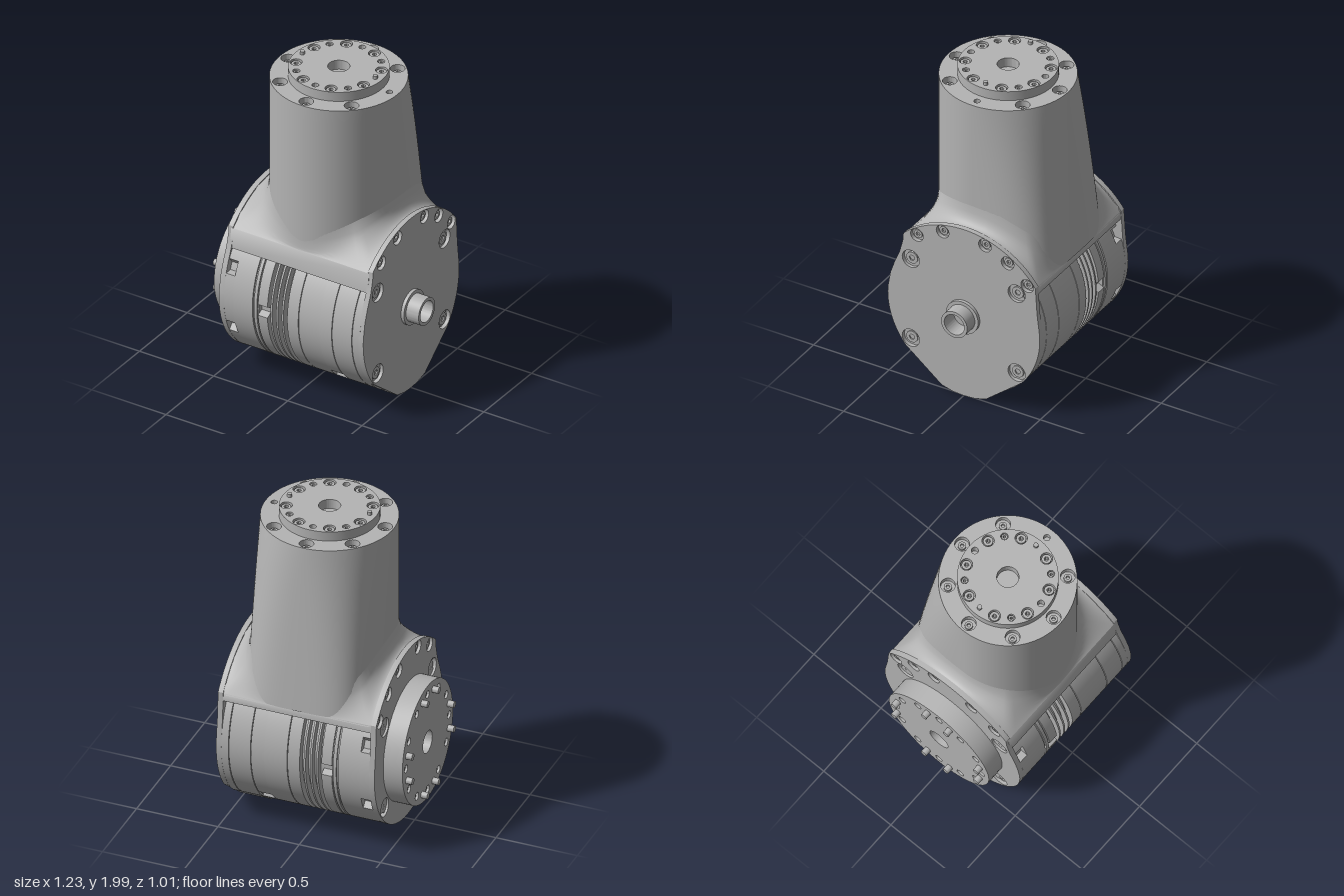
import * as THREE from 'three';
import { toCreasedNormals } from 'three/addons/utils/BufferGeometryUtils.js';
import { ParametricGeometry } from 'three/addons/geometries/ParametricGeometry.js';

const AXIS_Y = 0.545;   // height of the horizontal drum axis
const TOWER_X = 0.022;  // x of the vertical tower axis
const rad = THREE.MathUtils.degToRad;
const steps = (n, start = 0) => Array.from({ length: n }, (_, i) => rad(start + i * 360 / n));

export function createModel() {
  const group = new THREE.Group();
  const metal = new THREE.MeshStandardMaterial({ color: 0xb4b4b4 });
  metal.name = 'grey metal';

  function add(name, geo, crease = 0.5) {
    const mesh = new THREE.Mesh(toCreasedNormals(geo, crease), metal);
    mesh.name = name;
    group.add(mesh);
  }

  // Shapes: circles, outlines with holes, screw heads with a hex socket
  function circle(u, v, r, PathType = THREE.Shape) {
    return new PathType().absarc(u, v, r, 0, Math.PI * 2, false);
  }
  function drill(shape, holes) {
    for (const [u, v, r] of holes) shape.holes.push(circle(u, v, r, THREE.Path));
    return shape;
  }
  function polygon(pts) {
    return new THREE.Shape(pts.map(([u, v]) => new THREE.Vector2(u, v)));
  }
  function screwHead(u, v, r) {
    const head = circle(u, v, r);
    head.holes.push(new THREE.Path(steps(6).map(a =>
      new THREE.Vector2(u + r * 0.5 * Math.cos(a), v + r * 0.5 * Math.sin(a)))));
    return head;
  }
  const extrude = (shape, depth, seg) =>
    new THREE.ExtrudeGeometry(shape, { depth, bevelEnabled: false, curveSegments: seg });
  // Sideways parts: shape is (-z, y), pushed along x
  const alongX = (name, shape, x0, x1, seg = 20, crease = 0.5) =>
    add(name, extrude(shape, x1 - x0, seg).rotateY(Math.PI / 2).translate(x0, 0, 0), crease);
  // Upright parts: shape is (x, -z), pushed along y
  const alongY = (name, shape, y0, y1, seg = 20) =>
    add(name, extrude(shape, y1 - y0, seg).rotateX(-Math.PI / 2).translate(0, y0, 0));

  // Drum: core plus rings with fine seams between them, some rings notched
  function notchedDisc(notches) {
    const pts = [];
    for (let i = 0; i < 180; i++) {
      const a = rad(i * 2);
      const cut = notches.some(n => Math.abs(Math.atan2(Math.sin(a - n), Math.cos(a - n))) < 0.065);
      const q = cut ? 0.462 : 0.502;
      pts.push([q * Math.cos(a), AXIS_Y + q * Math.sin(a)]);
    }
    return polygon(pts);
  }
  alongX('drumCore', circle(0, AXIS_Y, 0.458), -0.45, 0.49, 64);
  const rings = [
    [-0.43, -0.37, steps(8, 22.5)], [-0.37, -0.238, []], [-0.228, -0.208, []],
    [-0.2, -0.137, steps(2)],
    [-0.003, 0.071, []], [0.075, 0.215, []], [0.215, 0.296, [rad(-45), rad(-135)]],
    [0.3, 0.431, []], [0.435, 0.485, []]
  ];
  for (const [x0, x1, notches] of rings) alongX('drumRing', notchedDisc(notches), x0, x1);
  for (const [x0, x1] of [[-0.3, -0.2], [0.03, 0.215], [0.296, 0.48]]) {
    alongX('drumSeamFloor', circle(0, AXIS_Y, 0.492), x0, x1, 64);
  }
  for (const x of [-0.11, -0.072, -0.034]) {
    alongX('coolingFin', circle(0, AXIS_Y, 0.502), x - 0.006, x + 0.006, 90);
  }

  // End plates: large arc on top, drum circle at the sides, optional pointed foot
  function plateOutline(hasFoot) {
    const pts = [];
    const arc = (r, from, to) => {
      for (let a = from; a <= to; a += 4) {
        pts.push([r * Math.cos(rad(a)), AXIS_Y + r * Math.sin(rad(a))]);
      }
    };
    arc(0.586, 36, 132);
    pts.push([-0.4, 0.97], [-0.404, 0.92], [-0.425, 0.84], [-0.458, 0.76], [-0.485, 0.68]);
    if (hasFoot) {
      arc(0.503, 176, 220);
      pts.push([-0.145, 0.03], [-0.07, 0.011], [0, 0.006], [0.07, 0.011], [0.145, 0.03]);
      arc(0.503, 320, 364);
    } else {
      arc(0.503, 176, 364);
    }
    pts.push([0.485, 0.72], [0.476, 0.86]);
    return polygon(pts);
  }
  const plateHoles = [
    [-0.35, 0.815, 0.057], [0.35, 0.815, 0.057], [-0.35, 0.28, 0.057], [0.35, 0.28, 0.057],
    [-0.31, 0.99, 0.042], [-0.14, 1.07, 0.042], [0.14, 1.07, 0.042],
    [0.29, 1.0, 0.042], [0.42, 0.89, 0.042]
  ];
  alongX('shaftSidePlate', drill(plateOutline(true), plateHoles), 0.478, 0.51);
  alongX('flangeSidePlate', drill(plateOutline(false), plateHoles), -0.463, -0.43);
  for (const [u, v, r] of plateHoles) {
    alongX('plateScrew', screwHead(u, v, r * 0.65), 0.47, 0.498, 10);
    alongX('plateScrew', screwHead(u, v, r * 0.65), -0.451, -0.425, 10);
  }
  const foot = [[-0.27, 0.13], [-0.145, 0.03], [-0.07, 0.011], [0, 0.006],
    [0.07, 0.011], [0.145, 0.03], [0.27, 0.13]];
  alongX('foot', polygon(foot), 0.35, 0.48);
  alongX('footStep', polygon(foot.slice(1, -1).concat([[0.18, 0.06], [-0.18, 0.06]])), 0.32, 0.36);

  // Hollow shaft with its collar
  alongX('shaftCollar', drill(circle(0, AXIS_Y, 0.107), [[0, AXIS_Y, 0.08]]), 0.505, 0.53, 32);
  alongX('hollowShaft', drill(circle(0, AXIS_Y, 0.086), [[0, AXIS_Y, 0.066]]), 0.505, 0.615, 32);

  // Output flange on the opposite side, with dowel pins and bolt holes
  const ringOf = (angles, R, r, u0, v0) =>
    angles.map(a => [u0 + R * Math.cos(a), v0 + R * Math.sin(a), r]);
  const sideHoles = ringOf(steps(12, 0), 0.316, 0.024, 0, AXIS_Y);
  alongX('outputFlange', drill(circle(0, AXIS_Y, 0.372), [[0, AXIS_Y, 0.068], ...sideHoles]),
    -0.58, -0.455, 32);
  for (const [u, v, r] of sideHoles) alongX('flangeBolt', screwHead(u, v, r * 0.8), -0.568, -0.46, 8);
  const pinAngles = [...steps(4, 15), ...steps(4, 75)];
  for (const [u, v, r] of ringOf(pinAngles, 0.316, 0.02, 0, AXIS_Y)) {
    alongX('flangePin', circle(u, v, r), -0.618, -0.57, 10);
  }

  // Housing shoulder bridging the two plates
  const shoulder = [[-0.42, 0.838], [0.476, 0.838], [0.472, 0.88]];
  for (let a = 40; a <= 132; a += 4) {
    shoulder.push([0.574 * Math.cos(rad(a)), AXIS_Y + 0.574 * Math.sin(rad(a))]);
  }
  shoulder.push([-0.402, 0.955]);
  alongX('housingShoulder', polygon(shoulder), -0.445, 0.485, 20, 1.0);

  // Tower section: round in front; the back leans out and squares off downward
  function towerSection(c, s, y) {
    if (s >= 0) return [0.394 * c, 0.394 * s];
    const drop = 1.92 - y;
    const e = 2 / (2 + 1.75 * drop);
    return [0.394 * Math.sign(c) * Math.abs(c) ** e, -(0.394 + 0.082 * drop) * Math.abs(s) ** e];
  }
  const towerGeo = new THREE.CylinderGeometry(1, 1, 1.04, 96, 12, true).translate(0, 1.4, 0);
  const pos = towerGeo.attributes.position;
  for (let i = 0; i < pos.count; i++) {
    const [x, z] = towerSection(pos.getX(i), pos.getZ(i), pos.getY(i));
    pos.setX(i, x + TOWER_X);
    pos.setZ(i, z);
  }
  add('tower', towerGeo);

  // Concave fillet flowing from the tower to the rectangular shoulder
  const blend = new ParametricGeometry((u, t, out) => {
    const [ix, iz] = towerSection(Math.cos(u * Math.PI * 2), Math.sin(u * Math.PI * 2), 1.1);
    const hz = iz < 0 ? 0.474 : 0.402;
    const k = Math.min(0.464 / Math.max(Math.abs(ix), 1e-6), hz / Math.max(Math.abs(iz), 1e-6));
    const grow = THREE.MathUtils.lerp(0.995, k, t);
    const rise = 0.13 * (1 - Math.sqrt(Math.max(0, 1 - (1 - t) ** 2)));
    const z = iz * grow;
    out.set(ix * grow + TOWER_X, AXIS_Y + Math.sqrt(0.578 ** 2 - z * z) + rise, z);
  }, 96, 10);
  add('towerFillet', blend, 0.8);

  // Tower rim with counterbored screws
  const rimHoles = ringOf(steps(8), 0.341, 0.042, TOWER_X, 0);
  rimHoles[0][2] = 0.019;
  alongY('towerRim', drill(circle(TOWER_X, 0, 0.394), rimHoles), 1.875, 1.92, 48);
  alongY('rimFloor', circle(TOWER_X, 0, 0.385), 1.85, 1.876, 48);
  for (const [u, v, r] of rimHoles.slice(1)) {
    alongY('rimScrew', screwHead(u, v, r * 0.55), 1.87, 1.895, 10);
  }

  // Top flange with bore, socket screws, small holes and two locating pins
  const socketHoles = ringOf(steps(8, 22.5), 0.246, 0.035, TOWER_X, 0);
  const smallHoles = ringOf([Math.PI / 2, -Math.PI / 2], 0.246, 0.02, TOWER_X, 0);
  const crossHoles = ringOf(steps(4, 45), 0.246, 0.021, TOWER_X, 0);
  alongY('topFlange', drill(circle(TOWER_X, 0, 0.288),
    [[TOWER_X, 0, 0.063], ...socketHoles, ...smallHoles, ...crossHoles]), 1.915, 1.98, 40);
  for (const [u, v, r] of [...socketHoles, ...crossHoles]) {
    alongY('topScrew', screwHead(u, v, r * 0.8), 1.915, 1.972, 10);
  }
  for (const [u, v, r] of ringOf(steps(2), 0.246, 0.014, TOWER_X, 0)) {
    alongY('topPin', circle(u, v, r), 1.97, 2.0, 10);
  }
  return group;
}
